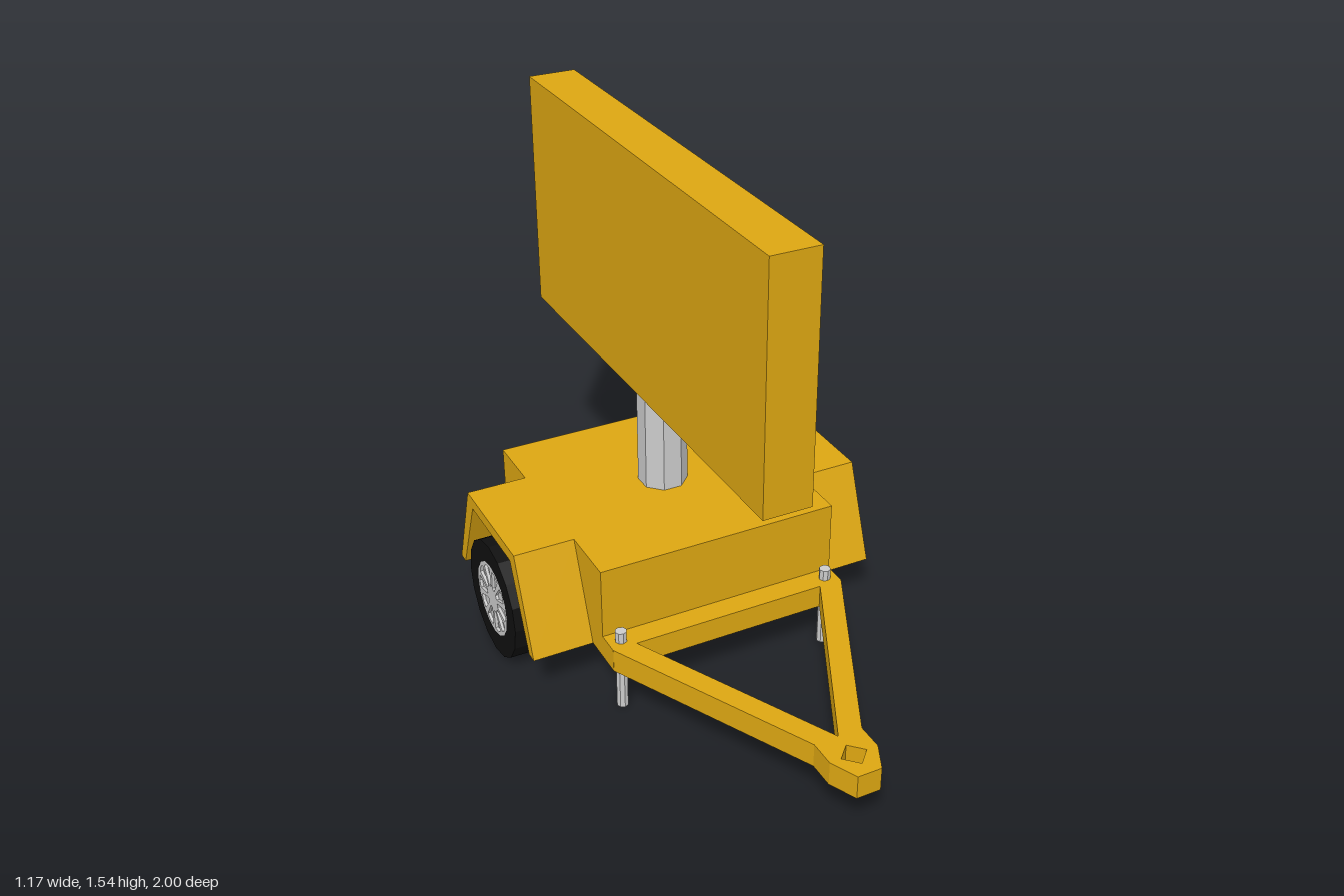
import * as THREE from 'three';

const paint = (color) => new THREE.MeshStandardMaterial({ color, flatShading: true });
const YELLOW = paint(0xdca612), BLACK = paint(0x101010), GREY = paint(0xcccccc);
const MID_Z = -0.23; // axle, mast and sign share this line
const SIGN_Y = 1.1575;

function add(parent, name, geometry, material, x = 0, y = 0, z = 0) {
  const mesh = new THREE.Mesh(geometry, material);
  mesh.name = name;
  mesh.position.set(x, y, z);
  parent.add(mesh);
  return mesh;
}

const polygon = (points) => points.map(([x, y]) => new THREE.Vector2(x, y));
const extrude = (shape, depth) =>
  new THREE.ExtrudeGeometry(shape, { depth, bevelEnabled: false, curveSegments: 8 });

// Sign casing: rectangular rings joined along x, with a closed back
function casingGeometry(rings) {
  const corners = rings.map(([x, w, h]) => [[x, -h, w], [x, -h, -w], [x, h, -w], [x, h, w]]);
  const pos = [];
  const quad = (a, b, c, d) => [a, b, c, a, c, d].forEach((p) => pos.push(...p));
  for (let i = 0; i < rings.length - 1; i++) {
    for (let j = 0; j < 4; j++) {
      const k = (j + 1) % 4;
      quad(corners[i][j], corners[i][k], corners[i + 1][k], corners[i + 1][j]);
    }
  }
  const [a, b, c, d] = corners[0];
  quad(a, d, c, b);
  const geo = new THREE.BufferGeometry();
  geo.setAttribute('position', new THREE.Float32BufferAttribute(pos, 3));
  geo.computeVertexNormals();
  return geo;
}

// Rim disc with a ring of wedge-shaped windows
function rimGeometry() {
  const shape = new THREE.Shape().absarc(0, 0, 0.12, 0, Math.PI * 2);
  const count = 10;
  for (let i = 0; i < count; i++) {
    const a = (i / count) * Math.PI * 2;
    const at = (r, da) => [r * Math.cos(a + da), r * Math.sin(a + da)];
    shape.holes.push(new THREE.Path(polygon(
      [at(0.042, -0.17), at(0.105, -0.22), at(0.11, 0), at(0.105, 0.22), at(0.042, 0.17)])));
  }
  return extrude(shape, 0.01).rotateY(Math.PI / 2);
}

// One side: fender arch, tyre and rim, built towards +x
function wheelSide(name) {
  const side = new THREE.Group();
  side.name = name;
  const arch = new THREE.Shape(polygon([
    [-0.307, 0.16], [-0.192, 0.463], [0.192, 0.463], [0.307, 0.16],
    [0.27, 0.16], [0.155, 0.425], [-0.155, 0.425], [-0.27, 0.16]]));
  add(side, 'fender', extrude(arch, 0.19).rotateY(Math.PI / 2), YELLOW, 0.385);
  const tyre = new THREE.LatheGeometry(polygon([
    [0, 0.386], [0.19, 0.386], [0.19, 0.585], [0.12, 0.585], [0.12, 0.57], [0, 0.57]]), 16);
  add(side, 'tyre', tyre.rotateZ(-Math.PI / 2), BLACK, 0, 0.19);
  const disc = new THREE.CylinderGeometry(0.12, 0.12, 0.006, 16).rotateZ(-Math.PI / 2);
  add(side, 'wheelDisc', disc, GREY, 0.573, 0.19);
  add(side, 'rim', rimGeometry(), GREY, 0.575, 0.19);
  side.position.z = MID_Z;
  return side;
}

export function createModel() {
  const model = new THREE.Group();
  model.name = 'signTrailer';

  // Body and base flange
  add(model, 'body', new THREE.BoxGeometry(0.77, 0.303, 0.765), YELLOW, 0, 0.3115, MID_Z);
  add(model, 'baseFlange', new THREE.BoxGeometry(0.77, 0.075, 0.918), YELLOW, 0, 0.1975, -0.233);

  // A-shaped drawbar with a coupling eye
  const bar = new THREE.Shape(polygon([
    [-0.385, -0.225], [-0.075, -0.84], [-0.075, -0.92], [-0.037, -1],
    [0.037, -1], [0.075, -0.92], [0.075, -0.84], [0.385, -0.225],
    [0.31, -0.225], [0, -0.84], [-0.31, -0.225]]));
  bar.holes.push(new THREE.Path(polygon([[0, -0.88], [0.04, -0.92], [0, -0.96], [-0.04, -0.92]])));
  add(model, 'drawbar', extrude(bar, 0.075).rotateX(-Math.PI / 2), YELLOW, 0, 0.16);

  // Wheels and fenders on both sides
  const left = wheelSide('leftWheelSide');
  const right = wheelSide('rightWheelSide');
  right.rotation.y = Math.PI;
  model.add(left, right);

  // Support legs at the four corners
  for (const x of [-0.345, 0.345]) {
    for (const z of [0.193, -0.655]) {
      add(model, 'supportLeg', new THREE.CylinderGeometry(0.018, 0.018, 0.27, 8), GREY, x, 0.135, z);
    }
  }

  // Mast
  const mast = new THREE.CylinderGeometry(0.077, 0.077, 0.36, 8).rotateY(Math.PI / 8);
  add(model, 'mast', mast, GREY, 0, 0.62, MID_Z);

  // Sign casing with bevelled frame, and the display panel
  const casing = casingGeometry([
    [-0.078, 0.77, 0.3825], [0.075, 0.77, 0.3825], [0.122, 0.67, 0.286], [0.106, 0.616, 0.232]]);
  add(model, 'signCasing', casing, YELLOW, 0, SIGN_Y, MID_Z);
  add(model, 'displayPanel', new THREE.PlaneGeometry(1.232, 0.464).rotateY(Math.PI / 2),
    BLACK, 0.106, SIGN_Y, MID_Z);

  return model;
}
